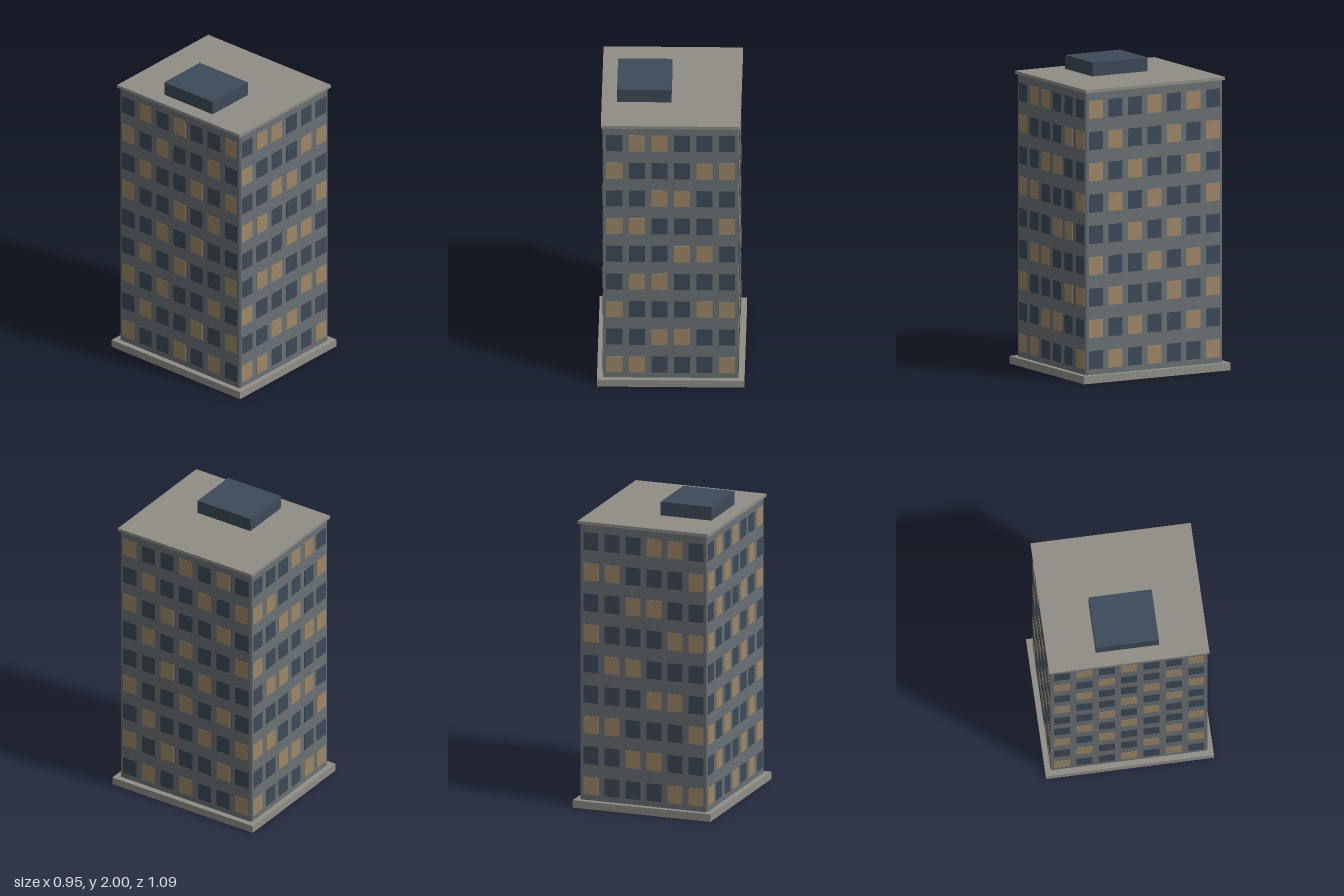
import * as THREE from 'three';

const mat = (name, color) => {
  const m = new THREE.MeshStandardMaterial({ color });
  m.name = name;
  return m;
};

export function createModel() {
  const wall = mat('wall grey', 0x6a7074);
  const stone = mat('stone trim', 0x8f8d86);
  const dark = mat('dark slate', 0x3c4a58);
  const lit = mat('lit window', 0x9d8666);

  const model = new THREE.Group();
  model.name = 'apartmentTower';

  const box = (name, material, size, pos, parent = model) => {
    const m = new THREE.Mesh(new THREE.BoxGeometry(...size), material);
    m.position.set(...pos);
    m.name = name;
    parent.add(m);
    return m;
  };

  // Plinth, roof slab and rooftop plant room
  box('plinth', stone, [0.948, 0.05, 1.09], [0, 0.025, 0]);
  box('roofSlab', stone, [0.898, 0.02, 1.04], [0, 1.9, 0]);
  box('plantRoom', dark, [0.35, 0.09, 0.41], [-0.175, 1.955, 0]);

  // Two crossing blocks leave a tiny notch at each corner
  box('wallsFrontBack', wall, [0.86, 1.84, 1.018], [0, 0.97, 0]);
  box('wallsSides', wall, [0.872, 1.84, 1.006], [0, 0.97, 0]);

  // One facade of windows: columns run along the local x axis
  const facade = (name, cols, distance, angle, isLit) => {
    const group = new THREE.Group();
    group.name = name;
    for (let row = 0; row < 9; row++) {
      for (let col = 0; col < cols; col++) {
        const x = (col - (cols - 1) / 2) * 0.145;
        const material = isLit(col, row) ? lit : dark;
        box('window', material, [0.103, 0.118, 0.004], [x, 0.146 + row * 0.204, distance], group);
      }
    }
    group.rotation.y = angle;
    model.add(group);
  };

  // Lit windows follow a diagonal rhythm that repeats every five floors
  const mod5 = (n) => ((n % 5) + 5) % 5;
  const frontLit = (c, r) => mod5(c - 2 * r) < 2;
  const sideLit = (c, r) => [1, 3].includes(mod5(c + r));
  facade('frontWindows', 6, 0.509, 0, frontLit);
  facade('backWindows', 6, 0.509, Math.PI, (c, r) => frontLit(5 - c, r));
  facade('leftWindows', 7, 0.436, Math.PI / 2, sideLit);
  facade('rightWindows', 7, 0.436, -Math.PI / 2, (c, r) => sideLit(6 - c, r));

  return model;
}
